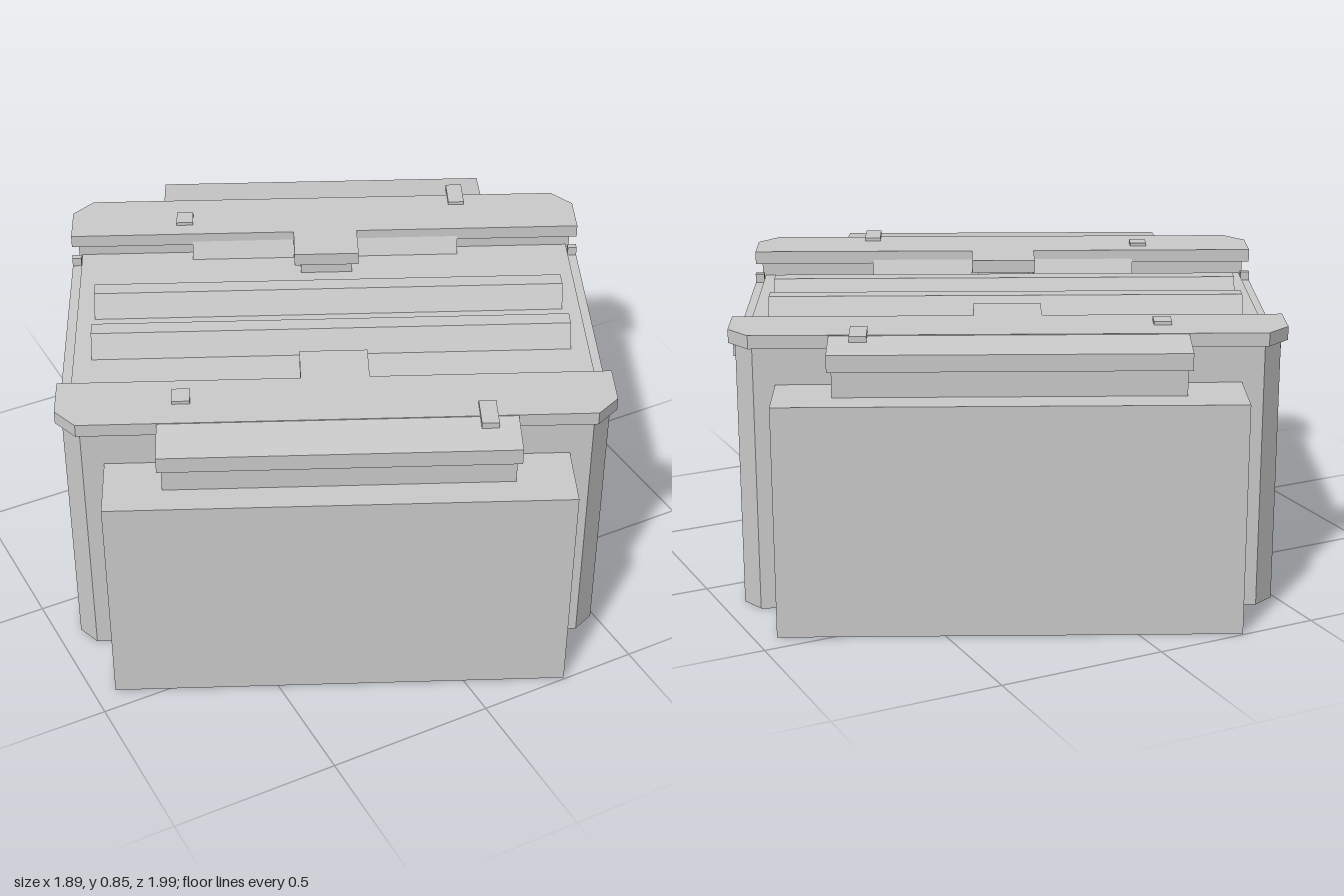
import * as THREE from 'three';

const material = new THREE.MeshStandardMaterial({ color: 0xcccccc, flatShading: true });

function add(parent, name, geometry) {
  const mesh = new THREE.Mesh(geometry, material);
  mesh.name = name;
  parent.add(mesh);
  return mesh;
}

const outline = (points) => new THREE.Shape(points.map(([a, b]) => new THREE.Vector2(a, b)));

// Vertical prism from a plan outline of [x, z] points.
function prism(points, y0, y1) {
  const g = new THREE.ExtrudeGeometry(outline(points.map(([x, z]) => [x, -z])),
    { depth: y1 - y0, bevelEnabled: false });
  return g.rotateX(-Math.PI / 2).translate(0, y0, 0);
}

// Bar running along x from a section of [z, y] points.
function bar(points, x0, x1) {
  const g = new THREE.ExtrudeGeometry(outline(points.map(([z, y]) => [-z, y])),
    { depth: x1 - x0, bevelEnabled: false });
  return g.rotateY(Math.PI / 2).translate(x0, 0, 0);
}

function box(x0, x1, y0, y1, z0, z1) {
  return new THREE.BoxGeometry(x1 - x0, y1 - y0, z1 - z0)
    .translate((x0 + x1) / 2, (y0 + y1) / 2, (z0 + z1) / 2);
}

// Mirror a half outline across x = 0.
const mirrorX = (half) => [...half, ...half.map(([x, z]) => [-x, z]).reverse()];

// Everything that sits on one side of the central channel.
function createSide() {
  const side = new THREE.Group();

  // Lower wing of the building
  add(side, 'wing', box(-0.667, 0.667, 0, 0.69, 0.5, 0.787));

  // Wall under the roof slab, with chamfered outer corners
  add(side, 'upperWall', prism(mirrorX([[0.08, 0.28], [0.08, 0.41], [0.782, 0.41],
    [0.782, 0.52], [0.73, 0.575], [0.5, 0.575], [0.5, 0.7]]), 0.68, 0.81));

  // Overhanging roof slab with the tab towards the channel
  add(side, 'roofSlab', prism(mirrorX([[0.1, 0.257], [0.1, 0.388], [0.802, 0.388],
    [0.802, 0.522], [0.74, 0.588], [0.51, 0.588]]), 0.8, 0.84));

  // Gently sloping outer roof
  add(side, 'outerRoof', bar([[0.57, 0.77], [0.722, 0.77], [0.722, 0.82], [0.57, 0.84]],
    -0.512, 0.512));

  // Ramps under the roof edge, either side of the tab
  for (const x of [-0.42, 0.1]) {
    add(side, 'edgeRamp', bar([[0.365, 0.75], [0.43, 0.75], [0.43, 0.83], [0.395, 0.83]], x, x + 0.32));
  }

  // Roof hatches
  add(side, 'smallHatch', box(-0.47, -0.418, 0.83, 0.85, 0.44, 0.5));
  add(side, 'longHatch', box(0.402, 0.452, 0.81, 0.85, 0.53, 0.635));
  return side;
}

export function createModel() {
  const model = new THREE.Group();
  model.name = 'building';
  const block = new THREE.Group();
  block.name = 'block';
  block.rotation.y = -THREE.MathUtils.degToRad(25);
  model.add(block);

  // Main body with chamfered corners
  const corner = [[0.782, 0.52], [0.73, 0.575]];
  add(block, 'mainBody', prism(mirrorX([
    ...corner.map(([x, z]) => [x, -z]).reverse(), ...corner]), 0, 0.73));

  // Channel floor
  add(block, 'channelFloor', box(-0.772, 0.772, 0.7, 0.757, -0.42, 0.42));

  // Two long ridges on the floor
  for (const z of [-0.105, 0.105]) {
    add(block, 'ridge', bar([[z - 0.06, 0.75], [z + 0.06, 0.75], [z + 0.025, 0.83], [z - 0.025, 0.83]],
      -0.717, 0.717));
  }

  // Lips along the open channel ends, with small upturned stops
  for (const s of [-1, 1]) {
    const place = (name, g) => add(block, name, g.translate(s * 0.788, 0, 0));
    place('channelLip', box(-0.014, 0.014, 0.72, 0.742, -0.388, 0.388));
    for (const z of [-0.379, 0.379]) {
      place('lipStop', box(-0.014, 0.014, 0.72, 0.77, z - 0.01, z + 0.01));
    }
  }

  // The two mirrored sides
  for (const s of [1, -1]) {
    const side = createSide();
    side.name = s > 0 ? 'frontSide' : 'backSide';
    side.scale.z = s;
    block.add(side);
  }
  return model;
}
